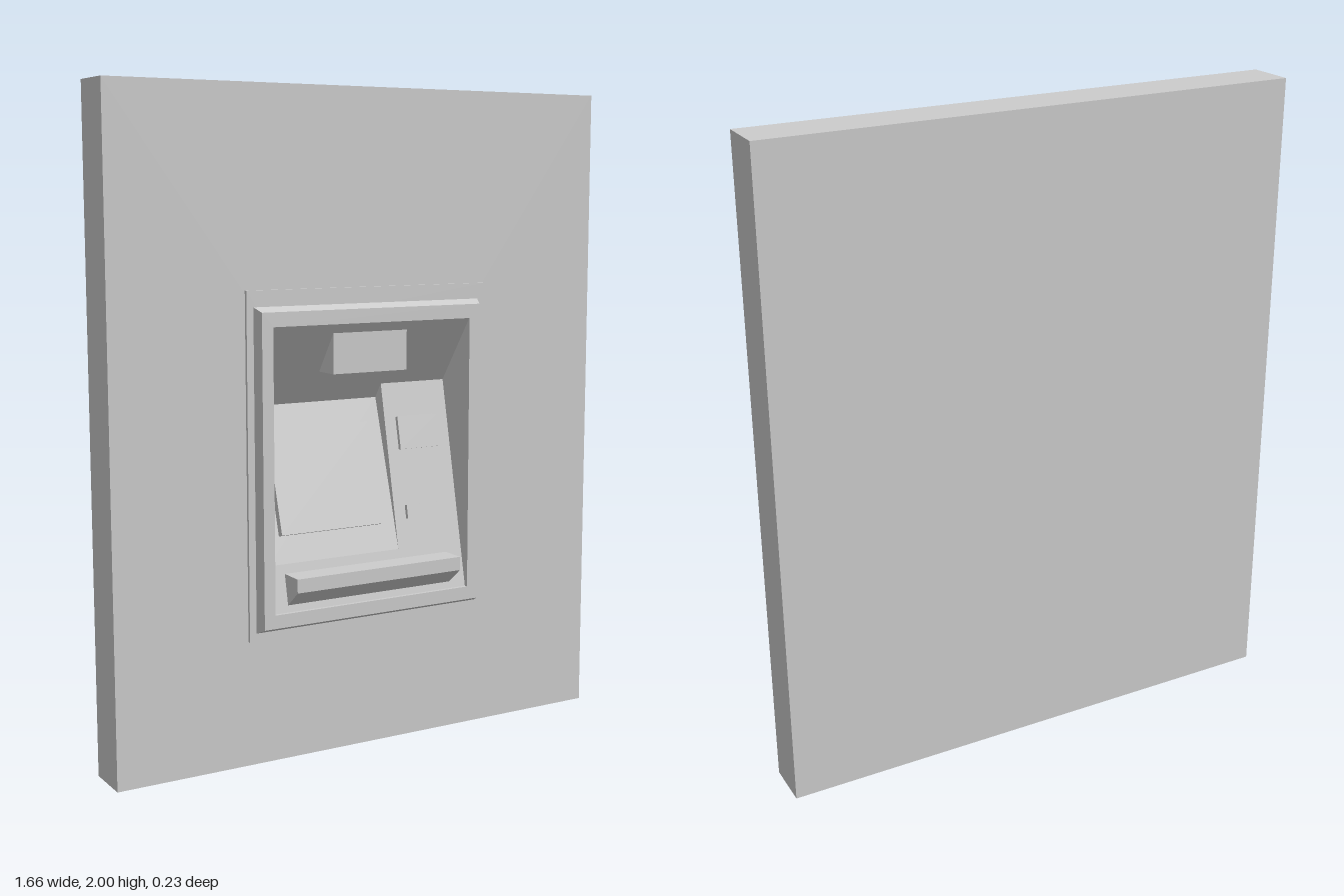
import * as THREE from 'three';

const BACK = -0.117, FACE = 0.032; // wall depth range
const HOLE = [-0.34, 0.46, 0.34, 1.31]; // recess opening

export function createModel() {
  const group = new THREE.Group();
  const grey = new THREE.MeshStandardMaterial({ color: 0xcccccc });
  grey.name = 'light grey';

  const add = (name, geometry) => {
    const mesh = new THREE.Mesh(geometry, grey);
    mesh.name = name;
    group.add(mesh);
    return mesh;
  };

  const corners = ([x0, y0, x1, y1]) =>
    [[x0, y0], [x1, y0], [x1, y1], [x0, y1]].map((p) => new THREE.Vector2(...p));

  // Rectangle with the recess opening cut through it
  const surround = (rect, z0, z1) => {
    const shape = new THREE.Shape(corners(rect));
    shape.holes.push(new THREE.Path(corners(HOLE).reverse()));
    const g = new THREE.ExtrudeGeometry(shape, { depth: z1 - z0, bevelEnabled: false });
    return g.translate(0, 0, z0);
  };

  // Side profile of [z, y] points swept from x0 to x1
  const prism = (profile, x0, x1) => {
    const shape = new THREE.Shape(profile.map((p) => new THREE.Vector2(...p)));
    const g = new THREE.ExtrudeGeometry(shape, { depth: x1 - x0, bevelEnabled: false });
    return g.rotateY(-Math.PI / 2).translate(x1, 0, 0);
  };

  // Wall, closed at the back
  add('wall', surround([-0.83, 0, 0.83, 2], BACK, FACE));
  const back = new THREE.PlaneGeometry(0.68, 0.85);
  back.rotateY(Math.PI).translate(0, 0.885, BACK);
  add('wallBack', back);

  // Thin border plate and the raised frame with chamfered outer edges
  add('borderPlate', surround([-0.41, 0.38, 0.41, 1.415], FACE, 0.042));
  const frame = surround([-0.388, 0.405, 0.388, 1.367], 0.042, 0.072);
  const pos = frame.attributes.position;
  for (let i = 0; i < pos.count; i++) {
    if (pos.getZ(i) < 0.07) continue;
    const x = pos.getX(i), y = pos.getY(i);
    if (Math.abs(x) > 0.36) pos.setX(i, x - Math.sign(x) * 0.012);
    if (y < 0.43) pos.setY(i, y + 0.014);
    if (y > 1.33) pos.setY(i, y - 0.014);
  }
  frame.computeVertexNormals();
  add('raisedFrame', frame);

  // Sloping panels inside the recess
  const inner = -0.113;
  add('lowerPanel', prism([[inner, 0.46], [0.06, 0.46], [0.03, 0.6], [inner, 0.6]], -0.34, 0.34));
  add('screenPanel', prism([[inner, 0.6], [0.03, 0.6], [-0.11, 1.06], [inner, 1.06]], -0.34, 0.11));
  add('slotPanel', prism([[inner, 0.6], [0.03, 0.6], [-0.08, 1.12], [inner, 1.12]], 0.11, 0.34));

  // Sloping ceiling and the block hanging from it
  add('ceiling', prism([[0.07, 1.31], [inner, 1.31], [inner, 1.055]], -0.34, 0.34));
  add('hoodBlock', prism([[-0.05, 1.16], [0.05, 1.16], [0.05, 1.31], [-0.05, 1.31]], -0.13, 0.125));

  // Plates raised from a panel that leans back by rise per unit of height
  const plate = (name, [x0, y0, x1, y1], lean, thick) => {
    const y = (y0 + y1) / 2;
    const mesh = add(name, new THREE.BoxGeometry(x1 - x0, (y1 - y0) * Math.hypot(1, lean), thick * 2));
    mesh.position.set((x0 + x1) / 2, y, 0.03 - lean * (y - 0.6));
    mesh.rotation.x = -Math.atan(lean);
  };
  plate('screen', [-0.293, 0.68, 0.056, 0.985], 0.304, 0.022);
  plate('upperSlot', [0.15, 0.9, 0.298, 1.0], 0.212, 0.012);
  plate('lowerSlot', [0.15, 0.688, 0.298, 0.73], 0.212, 0.012);

  // Shelf with an undercut front
  add('shelf', prism([[0.03, 0.48], [0.055, 0.48], [0.117, 0.53], [0.117, 0.572], [0.03, 0.572]], -0.29, 0.282));

  return group;
}
